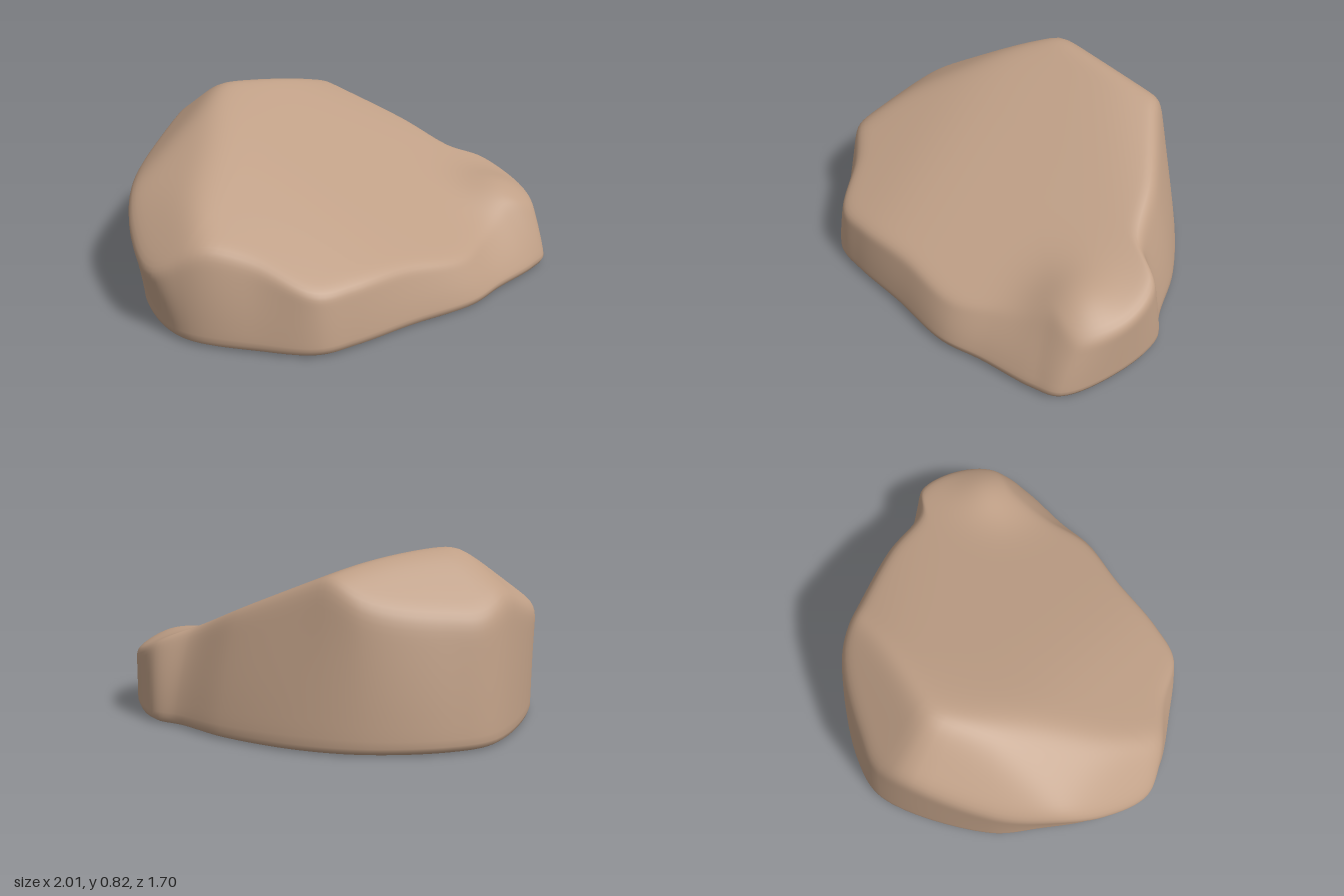
import * as THREE from 'three';

// Stations round the rock: foot x, z and shoulder x, z (left, front, right, back)
const STATIONS = [
  [-0.96, 0.12, -1.01, 0.10], [-0.94, 0.38, -1.00, 0.35], [-0.87, 0.52, -0.88, 0.46],
  [-0.66, 0.695, -0.63, 0.61], [-0.43, 0.84, -0.43, 0.80], [-0.25, 0.84, -0.24, 0.80],
  [0.05, 0.80, 0.05, 0.74], [0.38, 0.77, 0.36, 0.69], [0.58, 0.69, 0.55, 0.56],
  [0.84, 0.60, 0.74, 0.45], [0.95, 0.53, 0.93, 0.42], [1.00, 0.25, 1.00, 0.22],
  [0.96, -0.01, 0.94, 0.02], [0.86, -0.12, 0.76, -0.06], [0.70, -0.36, 0.59, -0.28],
  [0.42, -0.63, 0.32, -0.54], [0.15, -0.78, 0.16, -0.70], [-0.20, -0.85, -0.20, -0.77],
  [-0.42, -0.81, -0.41, -0.76], [-0.80, -0.40, -0.80, -0.40], [-0.89, -0.15, -0.94, -0.15],
];

// Top facets as planes y = a + b x + c z
const FACETS = [
  [0.70, 0, -0.52], // long front slope
  [0.755, 0, -0.2], // crown
  [0.755, -0.38, -0.148], // right slope
  [0.60, -0.22, -0.43], // front hollow
  [1.015, 0.55, -0.15], // left bevel
  [1.30, 0.8, 0.35], // back left bevel
  [1.385, 0.95, -0.35], // front left bevel
  [1.285, 0, 0.93], // back bevel
];

// Soft minimum of the facets gives the worn top, with a low knob at the front right
function topHeight(x, z) {
  const k = 45;
  let sum = 0;
  for (const [a, b, c] of FACETS) sum += Math.exp(-k * (a + b * x + c * z));
  const knob = 0.1 * Math.exp(-((x - 0.82) ** 2 + (z - 0.36) ** 2) / 0.04);
  return knob - Math.log(sum) / k;
}

function closedLoop(column, count) {
  const points = STATIONS.map((s) => new THREE.Vector3(s[column], 0, s[column + 1]));
  const curve = new THREE.CatmullRomCurve3(points, true, 'centripetal');
  return Array.from({ length: count }, (_, i) => curve.getPoint(i / count));
}

// Average each ring with the rings above and below to wear down the rim
function wearRim(rings, first, passes) {
  for (let pass = 0; pass < passes; pass++) {
    const before = rings.map((ring) => ring.map((p) => p.clone()));
    for (let i = first; i < rings.length - 1; i++) {
      rings[i].forEach((p, j) => {
        p.copy(before[i - 1][j]).add(before[i + 1][j]).multiplyScalar(0.5).lerp(before[i][j], 0.5);
      });
    }
  }
}

function rockGeometry() {
  const around = 168;
  const foot = closedLoop(0, around);
  const shoulder = closedLoop(2, around);
  const centre = new THREE.Vector3(-0.1, 0, 0);
  const rings = [];

  // Flat underside with a small rounded edge
  for (const [scale, y] of [[0, 0], [0.6, 0], [0.95, 0], [0.975, 0.004], [0.992, 0.015]]) {
    rings.push(foot.map((p) => centre.clone().lerp(p, scale).setY(y)));
  }

  // Walls lean from foot to shoulder
  const wallSteps = 18;
  const firstWall = rings.length;
  for (let i = 0; i <= wallSteps; i++) {
    const t = i / wallSteps;
    rings.push(foot.map((p, j) => {
      const s = shoulder[j];
      const y = THREE.MathUtils.lerp(0.035, topHeight(s.x, s.z), t);
      return p.clone().lerp(s, Math.pow(t, 1.3)).setY(y);
    }));
  }

  // Top closes toward the centre, following the facets
  const topSteps = 36;
  for (let i = 1; i <= topSteps; i++) {
    rings.push(shoulder.map((s) => {
      const p = s.clone().lerp(centre, i / topSteps);
      return p.setY(topHeight(p.x, p.z));
    }));
  }
  wearRim(rings, firstWall + 3, 5);

  const positions = rings.flat().flatMap((p) => [p.x, p.y, p.z]);
  const index = [];
  for (let i = 0; i < rings.length - 1; i++) {
    for (let j = 0; j < around; j++) {
      const next = (j + 1) % around;
      const a = i * around + j, b = i * around + next;
      const c = b + around, d = a + around;
      index.push(a, b, c, a, c, d);
    }
  }
  const geometry = new THREE.BufferGeometry();
  geometry.setAttribute('position', new THREE.Float32BufferAttribute(positions, 3));
  geometry.setIndex(index);
  geometry.computeVertexNormals();
  return geometry;
}

export function createModel() {
  const group = new THREE.Group();
  group.name = 'boulder';
  const rock = new THREE.Mesh(rockGeometry(), new THREE.MeshStandardMaterial({ color: 0xbf9f86 }));
  rock.name = 'rock';
  group.add(rock);
  return group;
}
